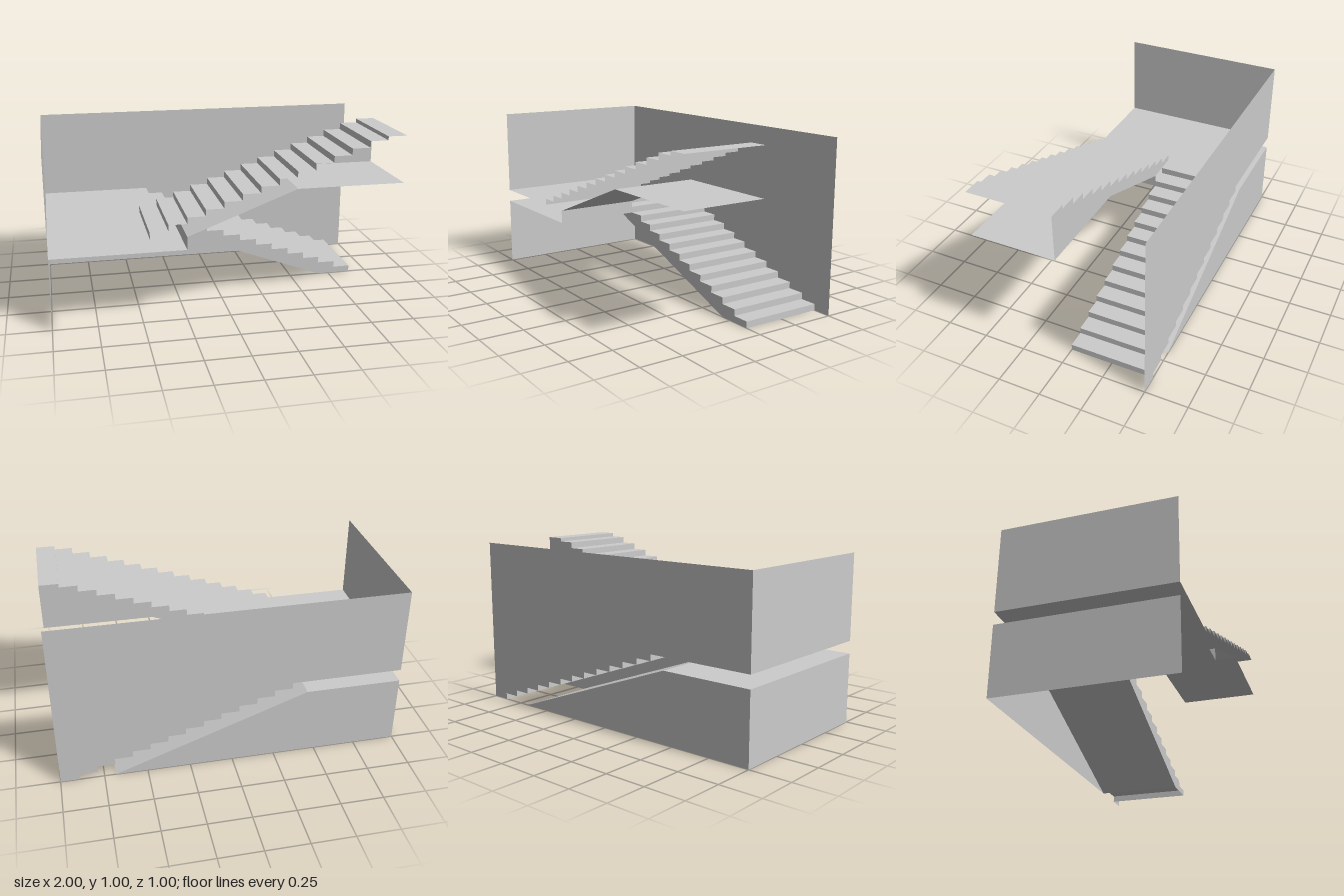
import * as THREE from 'three';

const material = new THREE.MeshStandardMaterial({ color: 0xcccccc, side: THREE.DoubleSide, flatShading: true });

// Main levels and step sizes
const LANDING = 0.489, UNDERSIDE = 0.414, TOP = 1;
const RISE = LANDING / 13, RUN = 0.1033, FIRST = 0.89;

// Thin sheet: an x-y profile line swept from z0 to z1
function sheet(name, profile, z0, z1) {
  const positions = [];
  for (let i = 0; i < profile.length - 1; i++) {
    const [ax, ay] = profile[i], [bx, by] = profile[i + 1];
    positions.push(ax, ay, z0, ax, ay, z1, bx, by, z1);
    positions.push(ax, ay, z0, bx, by, z1, bx, by, z0);
  }
  const geometry = new THREE.BufferGeometry();
  geometry.setAttribute('position', new THREE.Float32BufferAttribute(positions, 3));
  geometry.computeVertexNormals();
  const mesh = new THREE.Mesh(geometry, material);
  mesh.name = name;
  return mesh;
}

// Flat upright panel with an x-y outline
function panel(name, outline, z) {
  const shape = new THREE.Shape(outline.map(([x, y]) => new THREE.Vector2(x, y)));
  const mesh = new THREE.Mesh(new THREE.ShapeGeometry(shape), material);
  mesh.position.z = z;
  mesh.name = name;
  return mesh;
}

// Zigzag of risers and treads; the height never passes TOP
function steps(x, y, run, count) {
  const points = [];
  for (let i = 0; i < count; i++) {
    points.push([x + run * i, y + RISE * i]);
    points.push([x + run * i, Math.min(y + RISE * (i + 1), TOP)]);
  }
  return points;
}

export function createModel() {
  const group = new THREE.Group();
  group.name = 'staircase';

  const lowerSteps = steps(FIRST, 0, -RUN, 13);
  const upperSteps = steps(FIRST - 13 * RUN, LANDING, RUN, 14);
  const soffitEnd = -0.247;
  const lowerSoffit = [[-0.44, UNDERSIDE], [0.685, 0]];
  const upperSoffit = [[soffitEnd, LANDING], [0.377, 0.727], [1, 0.727]];

  // Lower flight, in the back half, with the landing behind it
  group.add(
    sheet('lowerFlightAndLanding', [...lowerSteps, [-1, LANDING]], 0, -0.5),
    sheet('lowerSoffit', [[-1, UNDERSIDE], ...lowerSoffit], -0.5, 0),
    panel('lowerStringer', [...lowerSteps.slice(0, 23), ...lowerSoffit], 0)
  );

  // Upper flight, in the front half, open at its front and top end
  group.add(
    sheet('upperFlightAndLanding', [[-1, LANDING], ...upperSteps, [1, TOP]], 0, 0.5),
    sheet('upperSoffit', [[-1, UNDERSIDE], [soffitEnd, UNDERSIDE], ...upperSoffit], 0, 0.5),
    panel('upperStringer', [...upperSteps, [1, TOP], ...upperSoffit.slice().reverse()], 0)
  );

  // Back wall, split by the open band between treads and soffit
  group.add(
    panel('upperBackWall', [[1, 0], ...lowerSteps, [-1, LANDING], [-1, TOP], [1, TOP]], -0.5),
    panel('lowerBackWall', [[-1, 0], [0.685, 0], [-0.44, UNDERSIDE], [-1, UNDERSIDE]], -0.5)
  );

  // End wall beside the landing
  group.add(
    sheet('upperEndWall', [[-1, LANDING], [-1, TOP]], -0.5, 0.5),
    sheet('lowerEndWall', [[-1, 0], [-1, UNDERSIDE]], -0.5, 0.5)
  );
  return group;
}
